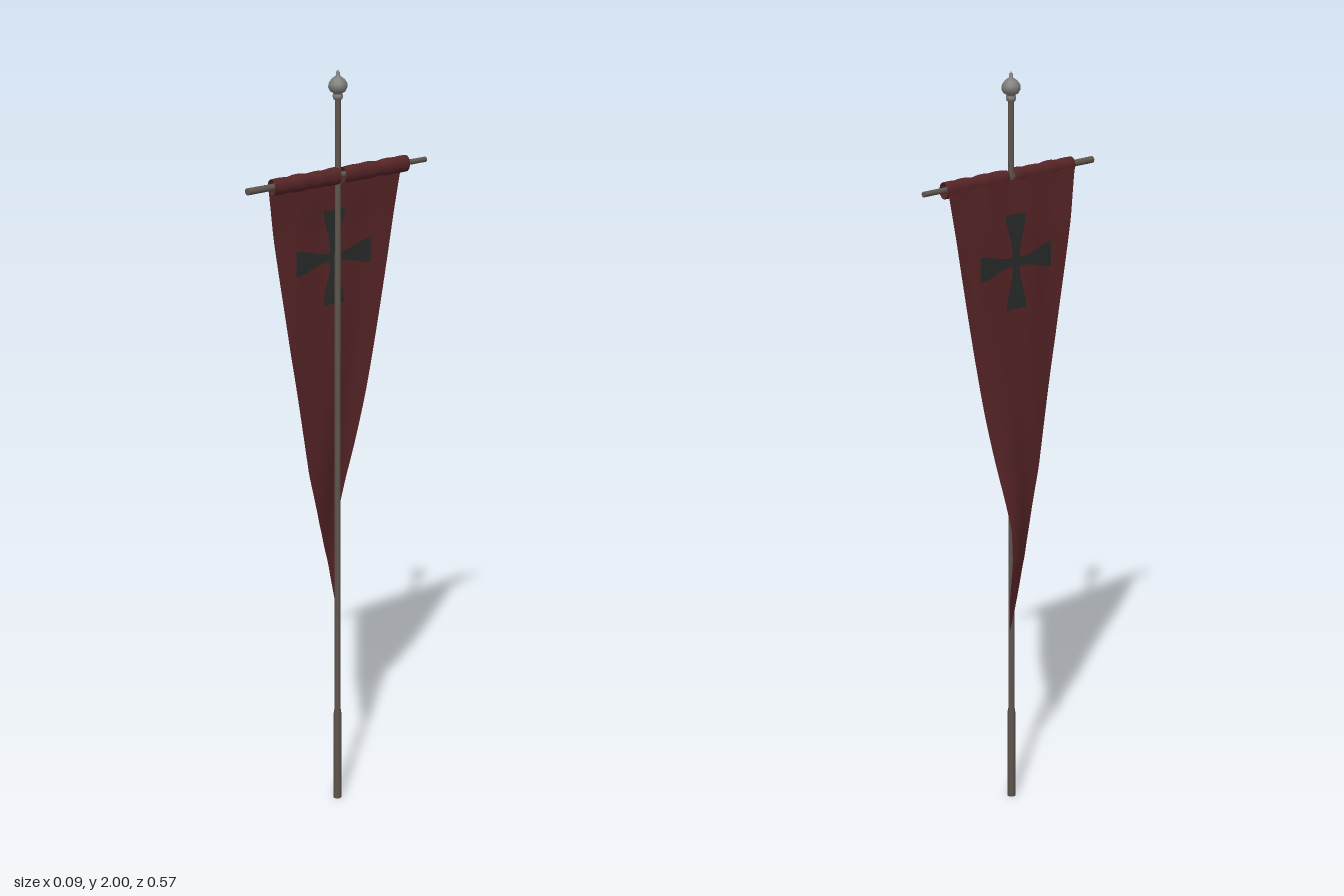
import * as THREE from 'three';

const material = (name, color, side = THREE.FrontSide) => {
  const m = new THREE.MeshStandardMaterial({ color, side });
  m.name = name;
  return m;
};

// Piecewise interpolation through [y, value] knots listed from top to bottom
function profile(knots) {
  return (y) => {
    for (let i = 1; i < knots.length; i++) {
      const [y0, a] = knots[i - 1], [y1, b] = knots[i];
      if (y >= y1 || i === knots.length - 1) {
        return THREE.MathUtils.lerp(a, b, THREE.MathUtils.clamp((y - y0) / (y1 - y0), 0, 1));
      }
    }
  };
}

const TOP = 1.735, TIP = 0.505, POLE_X = 0.019;
const frontEdge = profile([[TOP, 0.209], [1.29, 0.138], [0.944, 0.074], [0.8, 0.036], [0.68, 0], [0.6, -0.011], [TIP, -0.02]]);
const backEdge = profile([[TOP, -0.224], [1.13, -0.117], [0.82, -0.058], [0.7, -0.049], [0.615, -0.042], [TIP, -0.022]]);
const drape = profile([[TOP, 0.004], [1.6, -0.002], [1.2, -0.003], [0.8, -0.003], [TIP, 0.001]]);
const billow = profile([[TOP, 0], [1.4, 0.003], [1.2, 0.011], [1, 0.026], [0.9, 0.036], [0.8, 0.042], [0.72, 0.04], [0.6, 0.019], [TIP, 0]]);

// Depth of the hanging cloth at a given height and position across
const clothX = (y, z) => drape(y) - billow(y) * Math.exp(-(((z + 0.045) / 0.068) ** 2))
  + 0.0025 * Math.sin(z * 42 + y * 2) * THREE.MathUtils.smoothstep(TOP - y, 0, 0.15) * THREE.MathUtils.smoothstep(y, TIP, 1);

// Surface grid: at(u, v) returns [x, y, z]
function surface(at, cols, rows) {
  const geo = new THREE.PlaneGeometry(1, 1, cols, rows);
  const uv = geo.attributes.uv, pos = geo.attributes.position;
  for (let i = 0; i < pos.count; i++) pos.setXYZ(i, ...at(uv.getX(i), 1 - uv.getY(i)));
  geo.computeVertexNormals();
  return geo;
}

export function createModel() {
  const model = new THREE.Group();
  model.name = 'banner';
  const wood = material('weathered wood', 0x5e554d);
  const metal = material('grey metal', 0x7d7c79);
  const cloth = material('dark red cloth', 0x562426, THREE.DoubleSide);
  const paint = material('charcoal emblem', 0x292b2a, THREE.DoubleSide);

  const add = (name, geo, mat, x = 0, y = 0, z = 0, parent = model) => {
    const mesh = new THREE.Mesh(geo, mat);
    mesh.name = name;
    mesh.position.set(x, y, z);
    parent.add(mesh);
    return mesh;
  };

  // Pole with a thicker grip at the foot
  const poleProfile = [[0, 0], [0.011, 0], [0.011, 0.25], [0.0085, 0.265], [0.0075, 1.935], [0, 1.935]];
  add('pole', new THREE.LatheGeometry(poleProfile.map((p) => new THREE.Vector2(...p)), 12), wood, POLE_X);

  // Finial: collar, ball and small spike
  const finialProfile = [[0, 1.925], [0.011, 1.926], [0.013, 1.932], [0.013, 1.938], [0.01, 1.941], [0.019, 1.946],
    [0.0245, 1.956], [0.0235, 1.966], [0.018, 1.975], [0.009, 1.982], [0.005, 1.985], [0.005, 1.993], [0, 2]];
  add('finial', new THREE.LatheGeometry(finialProfile.map((p) => new THREE.Vector2(...p)), 12), metal, POLE_X);

  // Crossbar, slightly tapered towards the back
  const bar = add('crossbar', new THREE.CylinderGeometry(0.009, 0.007, 0.575, 12), wood, POLE_X + 0.001, 1.734, -0.002);
  bar.rotation.x = Math.PI / 2;

  // Sewn sleeves around the crossbar, parted at the pole
  for (const [name, z0, z1] of [['frontSleeve', 0.21, 0.001], ['backSleeve', -0.016, -0.225]]) {
    add(name, surface((u, v) => {
      const z = THREE.MathUtils.lerp(z0, z1, u), a = v * Math.PI * 2;
      const wobble = 1 + 0.06 * Math.sin(z * 110 + Math.sin(a)) + 0.04 * Math.sin(z * 61);
      return [POLE_X + Math.sin(a) * 0.0155 * wobble, 1.733 + Math.cos(a) * 0.0215 * wobble, z];
    }, 20, 14), cloth);
  }

  // Tapering pennant that billows and curls back at the tip
  add('pennant', surface((u, v) => {
    const y = THREE.MathUtils.lerp(TOP - 0.005, TIP, v);
    const z = THREE.MathUtils.lerp(frontEdge(y), backEdge(y), u);
    return [clothX(y, z), y, z];
  }, 24, 60), cloth);

  // Flared cross painted on both faces of the cloth
  for (const side of [1, -1]) {
    const cross = new THREE.Group();
    cross.name = side > 0 ? 'rightCross' : 'leftCross';
    model.add(cross);
    const onCloth = (dy, dz) => {
      const y = 1.518 + dy, z = -0.004 + dz;
      return [clothX(y, z) + side * 0.002, y, z];
    };
    for (let k = 0; k < 4; k++) {
      const c = Math.round(Math.cos(k * Math.PI / 2)), s = Math.round(Math.sin(k * Math.PI / 2));
      add('crossArm', surface((u, v) => {
        const along = 0.012 + v * 0.112;
        const across = (u - 0.5) * 2 * (0.012 + 0.021 * THREE.MathUtils.smoothstep(v, 0.1, 1));
        return onCloth(along * c - across * s, along * s + across * c);
      }, 6, 10), paint, 0, 0, 0, cross);
    }
    add('crossCentre', surface((u, v) => onCloth((0.5 - v) * 0.024, (0.5 - u) * 0.024), 4, 4), paint, 0, 0, 0, cross);
  }
  return model;
}
